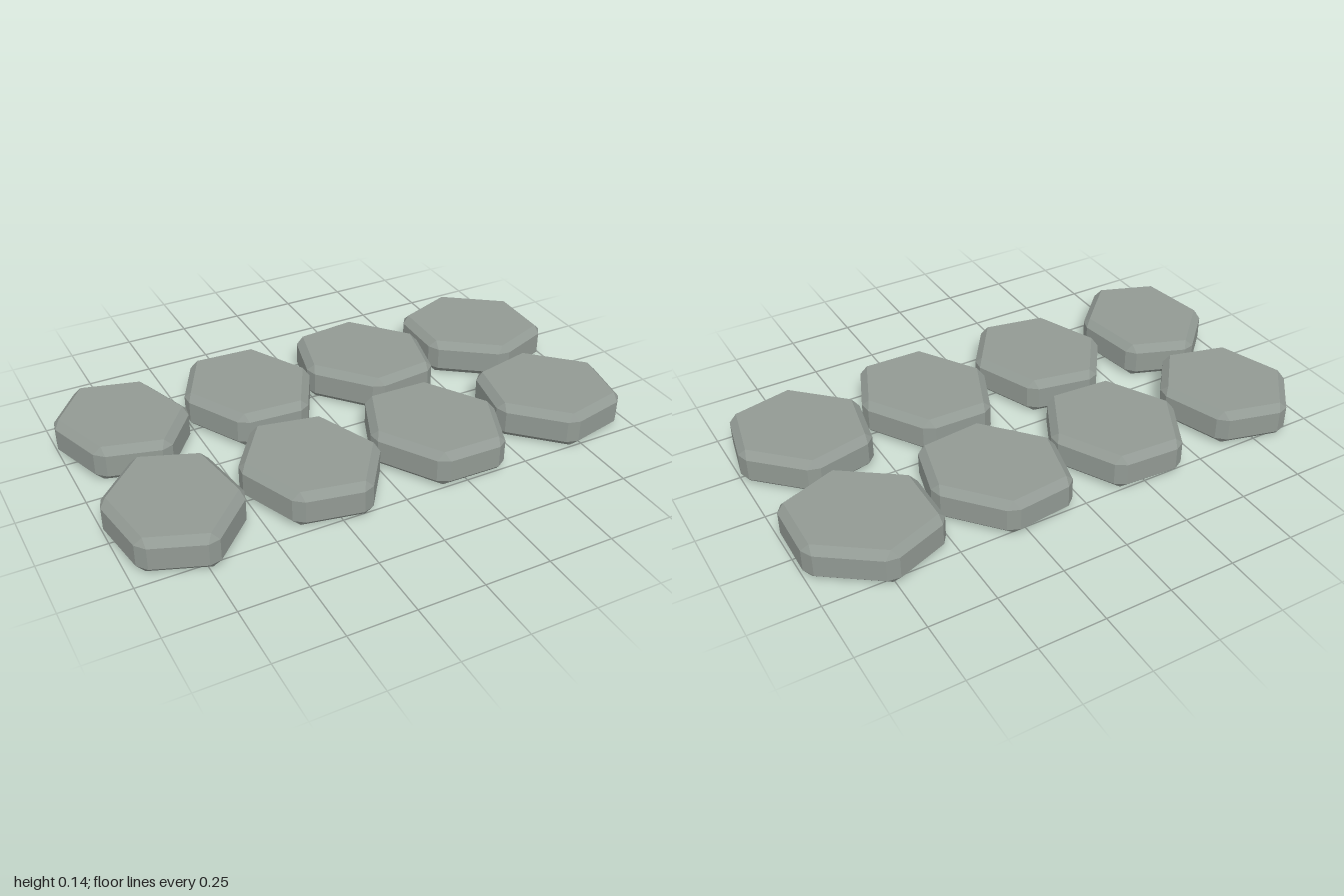
import * as THREE from 'three';
import { ConvexGeometry } from 'three/addons/geometries/ConvexGeometry.js';

const HEIGHT = 0.139;
const BEVEL = 0.027;

// Each stone: centre x, z, then two of its corner directions (x, z).
const STONES = [
  [-0.765, -0.28, -0.246, -0.067, 0.155, -0.198],
  [-0.26, -0.275, -0.257, -0.016, 0.123, -0.235],
  [0.245, -0.28, -0.257, 0.027, 0.064, -0.251],
  [0.755, -0.28, -0.238, -0.174, 0.243, -0.091],
  [-0.77, 0.265, -0.235, -0.091, 0.193, -0.193],
  [-0.26, 0.265, -0.257, -0.051, 0.15, -0.214],
  [0.245, 0.265, -0.257, -0.005, 0.102, -0.243],
  [0.75, 0.265, -0.203, -0.198, 0.254, -0.056],
];

// Six-sided slab with every edge chamfered
function stoneGeometry(a, c) {
  const b = a.clone().add(c);
  const half = [a, b, c];
  const corners = [...half, ...half.map((v) => v.clone().negate())];
  const points = [];
  corners.forEach((p, i) => {
    const toPrev = corners[(i + 5) % 6].clone().sub(p).normalize();
    const toNext = corners[(i + 1) % 6].clone().sub(p).normalize();
    // cap corner, inset from both edges
    const inset = BEVEL / Math.abs(toPrev.cross(toNext));
    const cap = p.clone().addScaledVector(toPrev, inset).addScaledVector(toNext, inset);
    for (const y of [0, HEIGHT]) points.push(new THREE.Vector3(cap.x, y, cap.y));
    // side corners, one on each neighbouring side
    for (const dir of [toPrev, toNext]) {
      const s = p.clone().addScaledVector(dir, BEVEL);
      for (const y of [BEVEL, HEIGHT - BEVEL]) points.push(new THREE.Vector3(s.x, y, s.y));
    }
  });
  return new ConvexGeometry(points);
}

export function createModel() {
  const group = new THREE.Group();
  group.name = 'steppingStones';
  const stone = new THREE.MeshStandardMaterial({ color: 0x929a94 });
  stone.name = 'greyStone';

  STONES.forEach(([x, z, ax, az, cx, cz], i) => {
    const geometry = stoneGeometry(new THREE.Vector2(ax, az), new THREE.Vector2(cx, cz));
    const mesh = new THREE.Mesh(geometry, stone);
    mesh.name = `pavingStone${i + 1}`;
    mesh.position.set(x, 0, z);
    group.add(mesh);
  });
  return group;
}
